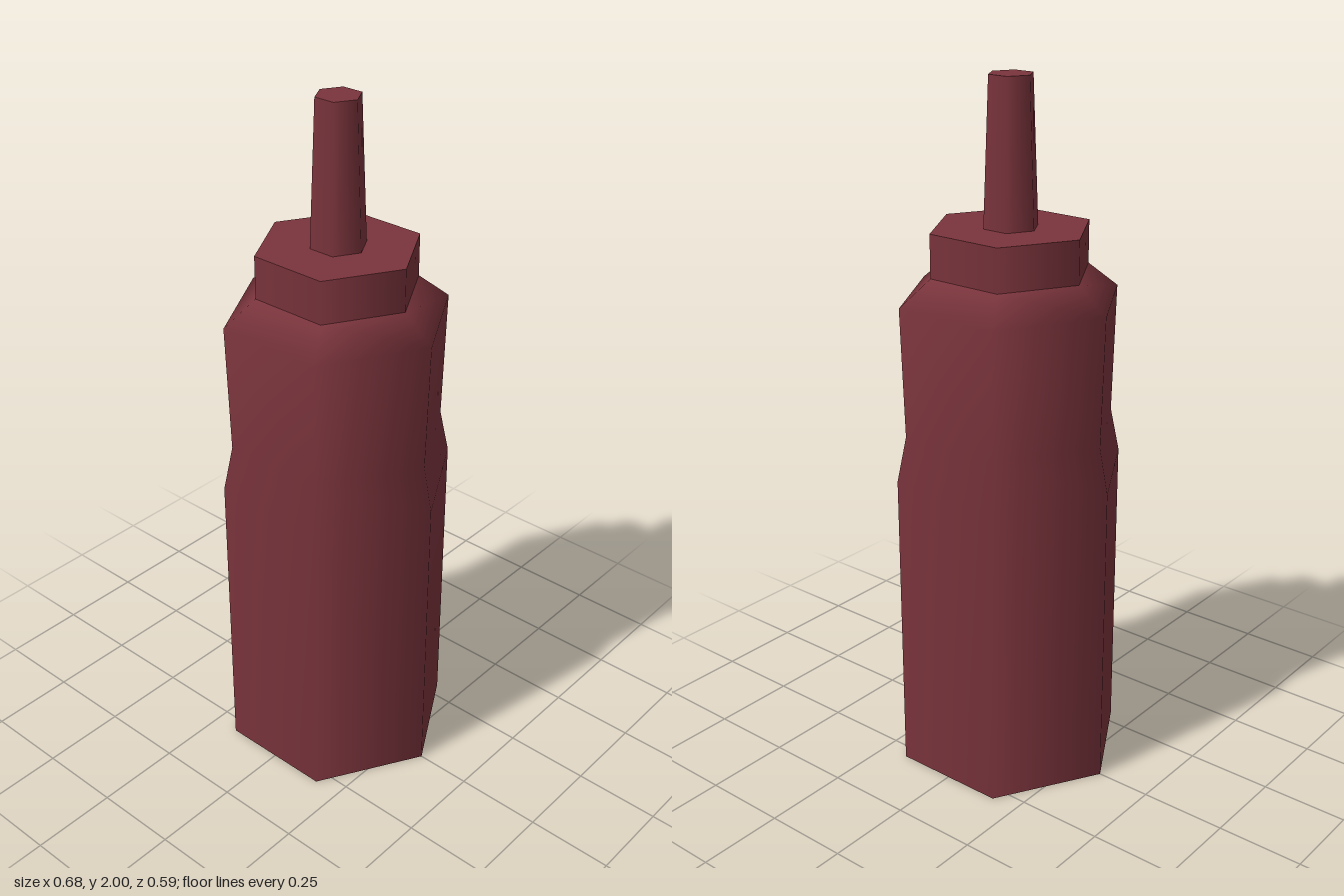
import * as THREE from 'three';

const SIDES = 6;

export function createModel() {
  const group = new THREE.Group();
  group.name = 'squeezeBottle';

  const red = new THREE.MeshStandardMaterial({ color: 0x7a343c });
  red.name = 'dark red';

  const add = (name, geometry, y = 0) => {
    const mesh = new THREE.Mesh(geometry, red);
    mesh.name = name;
    mesh.position.y = y;
    group.add(mesh);
  };

  // Hexagonal prism with corners on the x axis, standing on y = bottom
  const addPrism = (name, rTop, rBottom, bottom, top) => add(
    name,
    new THREE.CylinderGeometry(rTop, rBottom, top - bottom, SIDES, 1, false, Math.PI / 2),
    (bottom + top) / 2
  );

  // Body with pinched grip and sloping shoulder
  const profile = [[0.338, 0], [0.338, 0.9], [0.31, 1.03], [0.32, 1.4], [0.23, 1.473]]
    .map(([r, y]) => new THREE.Vector2(r, y));
  add('body', new THREE.LatheGeometry(profile, SIDES, Math.PI / 2));

  // Flat underside
  add('base', new THREE.CircleGeometry(0.338, SIDES).rotateX(Math.PI / 2));

  // Screw cap and tapered nozzle
  addPrism('cap', 0.23, 0.23, 1.473, 1.595);
  addPrism('nozzle', 0.063, 0.079, 1.595, 2);

  return group;
}
